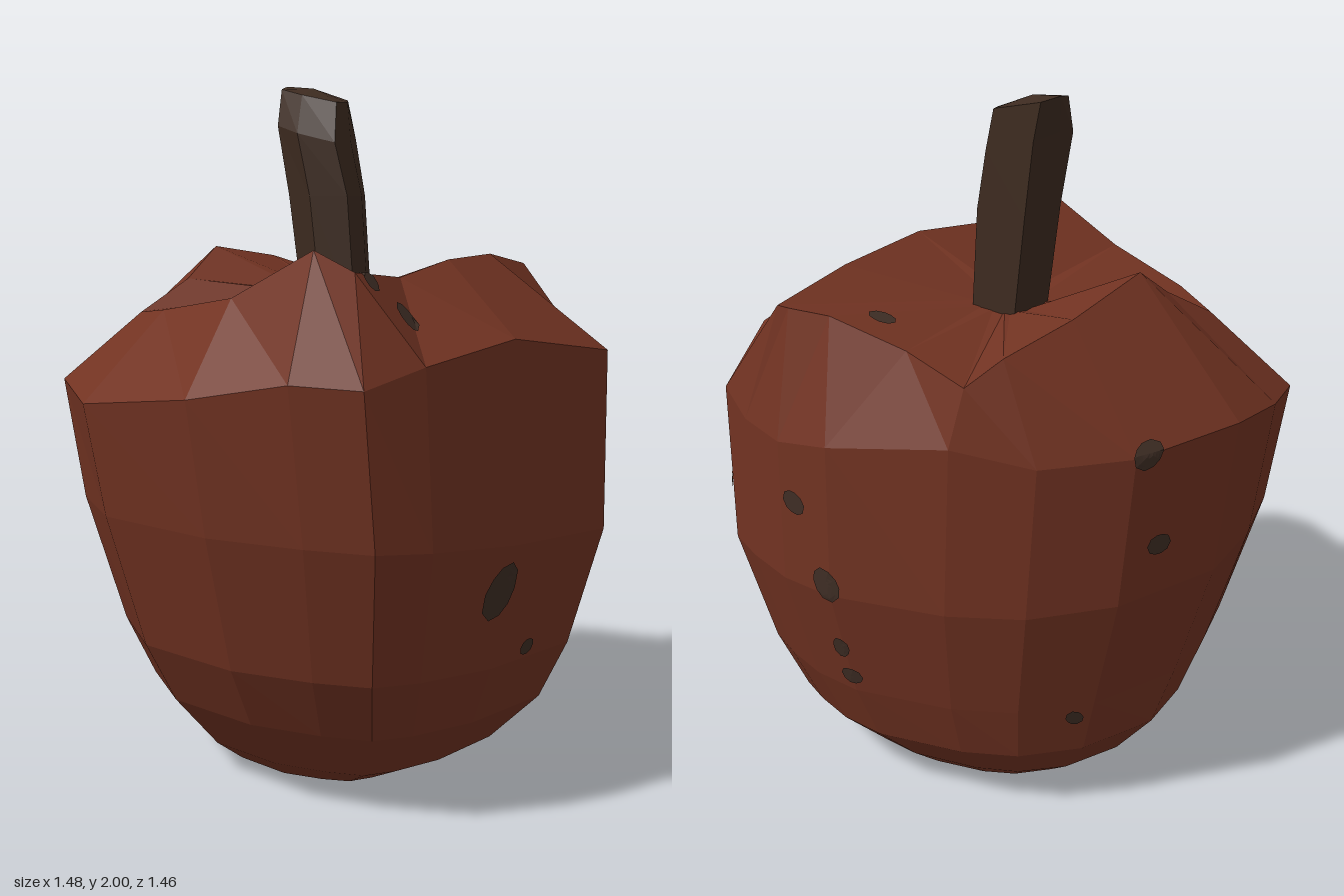
import * as THREE from 'three';

const V = (p) => new THREE.Vector3(...p);

// Closed faceted skin through rings listed from top to bottom, capped by a fan at each end
function skin(rings, top, bottom) {
  const pos = [];
  const tri = (...pts) => pts.forEach((p) => pos.push(...p));
  const n = rings[0].length;
  for (let i = 0; i < n; i++) {
    const j = (i + 1) % n;
    tri(top, rings[0][j], rings[0][i]);
    for (let k = 0; k + 1 < rings.length; k++) {
      const a = rings[k], b = rings[k + 1];
      tri(a[i], a[j], b[i]);
      tri(a[j], b[j], b[i]);
    }
    const last = rings[rings.length - 1];
    tri(bottom, last[i], last[j]);
  }
  const geo = new THREE.BufferGeometry();
  geo.setAttribute('position', new THREE.Float32BufferAttribute(pos, 3));
  geo.computeVertexNormals();
  return geo;
}

// Rim around the hollow on top, starting at the back and going towards +x
const RIM = [
  [-0.05, 1.53, -0.37], [0.28, 1.49, -0.41], [0.49, 1.43, -0.36], [0.57, 1.36, -0.30],
  [0.57, 1.41, -0.10], [0.63, 1.47, 0.12], [0.657, 1.47, 0.25], [0.66, 1.47, 0.29],
  [0.38, 1.51, 0.33], [0, 1.51, 0.42], [-0.27, 1.475, 0.44], [-0.53, 1.50, 0.48],
  [-0.51, 1.55, 0.34], [-0.52, 1.42, 0.08], [-0.44, 1.37, -0.23], [-0.35, 1.35, -0.40],
  [-0.19, 1.44, -0.36],
];

// Shoulder, the widest ring
const SHOULDER = [
  [-0.02, 1.20, -0.73], [0.29, 1.17, -0.63], [0.49, 1.16, -0.47], [0.61, 1.20, -0.28],
  [0.73, 1.15, 0.05], [0.74, 1.12, 0.23], [0.71, 1.13, 0.40], [0.67, 1.18, 0.53],
  [0.36, 1.25, 0.73], [-0.14, 1.32, 0.71], [-0.44, 1.27, 0.63], [-0.59, 1.22, 0.55],
  [-0.67, 1.23, 0.38], [-0.74, 1.18, 0.11], [-0.69, 1.13, -0.30], [-0.45, 1.15, -0.62],
  [-0.26, 1.17, -0.69],
];

// Lower rings: height, x range, z range, tilt along x
const LOWER = [
  [0.76, -0.69, 0.735, -0.69, 0.73, 0.08],
  [0.40, -0.585, 0.655, -0.585, 0.64, 0.05],
  [0.22, -0.475, 0.59, -0.53, 0.56, 0.04],
  [0.075, -0.34, 0.46, -0.41, 0.43, 0.02],
  [0.015, -0.25, 0.39, -0.32, 0.30, 0.01],
];

function bodyGeometry() {
  const lerp = THREE.MathUtils.lerp;
  // foot of the hollow, where the stem comes out
  const hollow = RIM.map(([x, , z]) => {
    const dx = x - 0.065, len = Math.hypot(dx, z);
    return [0.065 + dx / len * 0.09, 1.4, z / len * 0.1];
  });
  const lower = LOWER.map(([y, x0, x1, z0, z1, tilt]) => SHOULDER.map(([x, , z]) => [
    lerp(x0, x1, (x + 0.74) / 1.48),
    y - tilt * x,
    lerp(z0, z1, (z + 0.73) / 1.46),
  ]));
  return skin([hollow, RIM, SHOULDER, ...lower], [0.065, 1.38, 0], [0.12, 0, 0.02]);
}

// Stem outline in its bounding square, and rings: height, x range, z range, rise to the back
const STEM_OUTLINE = [
  [1, -0.95], [1, 0.5], [0.2, 0.9], [-0.65, 1], [-1, 0.1], [-0.75, -0.7], [0.1, -1],
];
const STEM = [
  [1.97, 0.0, 0.165, -0.205, 0.02, 0.025],
  [1.86, -0.06, 0.165, -0.18, 0.05, 0.03],
  [1.68, -0.045, 0.165, -0.15, 0.085, 0],
  [1.34, -0.03, 0.165, -0.105, 0.105, 0],
];

function stemGeometry() {
  const rings = STEM.map(([y, x0, x1, z0, z1, rise]) => STEM_OUTLINE.map(([u, v]) => [
    (x0 + x1) / 2 + u * (x1 - x0) / 2,
    Math.min(2, y - rise * v + (v < -0.96 ? 0.01 : 0)),
    (z0 + z1) / 2 + v * (z1 - z0) / 2,
  ]));
  return skin(rings, [0.08, 1.99, -0.1], [0.07, 1.33, 0]);
}

// Spots: point near the skin, direction they face, half width, half height
const FRONT = [0, 0, 1], SIDE = [1, 0, 0], UP = [0, 1, 0];
const SPOTS = [
  [[-0.13, 0.645, 0.7], FRONT, 0.055, 0.08],
  [[0.08, 0.435, 0.6], FRONT, 0.03, 0.027],
  [[-0.385, 1.38, 0.53], [0, 0.5, 1], 0.036, 0.042],
  [[-0.475, 1.475, 0.485], [0, 0.8, 1], 0.035, 0.03],
  [[0.615, 0.89, 0.555], [1, 0, 0.6], 0.055, 0.06],
  [[0.7, 0.955, 0.18], SIDE, 0.037, 0.037],
  [[0.7, 0.735, 0.08], SIDE, 0.047, 0.047],
  [[0.65, 0.52, 0.08], SIDE, 0.03, 0.032],
  [[0.62, 0.42, 0.07], SIDE, 0.032, 0.03],
  [[-0.10, 1.45, -0.16], UP, 0.028, 0.025],
  [[0.50, 1.45, 0.06], UP, 0.036, 0.034],
  [[0.25, 1.17, -0.63], [0.3, 0.7, -1], 0.045, 0.034],
  [[0.20, 0.9, -0.65], [0.3, 0, -1], 0.034, 0.034],
  [[0.32, 0.34, -0.47], [0.6, 0, -1], 0.026, 0.025],
  [[-0.13, 0.02, -0.19], [0, -1, 0], 0.038, 0.034],
];

// Thin patch that follows the skin of the body
function spotGeometry(body, [point, facing, w, h], seed) {
  const d = V(facing).normalize(), p = V(point);
  const ref = Math.abs(d.y) > 0.9 ? V([0, 0, 1]) : V([0, 1, 0]);
  const t1 = ref.cross(d).normalize(), t2 = d.clone().cross(t1);
  const geo = new THREE.RingGeometry(0.001, 1, 10, 4);
  const pos = geo.attributes.position;
  const ray = new THREE.Raycaster();
  for (let i = 0; i < pos.count; i++) {
    const x = pos.getX(i), y = pos.getY(i);
    const wobble = 1 + 0.12 * Math.sin(2 * Math.atan2(y, x) + seed * 1.7);
    const q = p.clone().addScaledVector(t1, x * w * wobble).addScaledVector(t2, y * h * wobble);
    ray.set(q.clone().addScaledVector(d, 0.5), d.clone().negate());
    const hit = ray.intersectObject(body)[0];
    if (hit) q.copy(hit.point).addScaledVector(hit.face.normal, 0.005);
    pos.setXYZ(i, q.x, q.y, q.z);
  }
  geo.computeVertexNormals();
  return geo;
}

export function createModel() {
  const material = (name, color) => {
    const m = new THREE.MeshStandardMaterial({ color, flatShading: true });
    m.name = name;
    return m;
  };
  const red = material('rustyRed', 0x723322);
  const brown = material('darkBrown', 0x3d2b20);
  const spotBrown = material('spotBrown', 0x3f2e25);

  const group = new THREE.Group();
  group.name = 'apple';
  const add = (name, geo, mat, parent = group) => {
    const mesh = new THREE.Mesh(geo, mat);
    mesh.name = name;
    parent.add(mesh);
    return mesh;
  };

  const body = add('fruitBody', bodyGeometry(), red);
  add('stem', stemGeometry(), brown);

  const spots = new THREE.Group();
  spots.name = 'spots';
  group.add(spots);
  SPOTS.forEach((s, i) => add(`spot${i + 1}`, spotGeometry(body, s, i), spotBrown, spots));
  return group;
}
